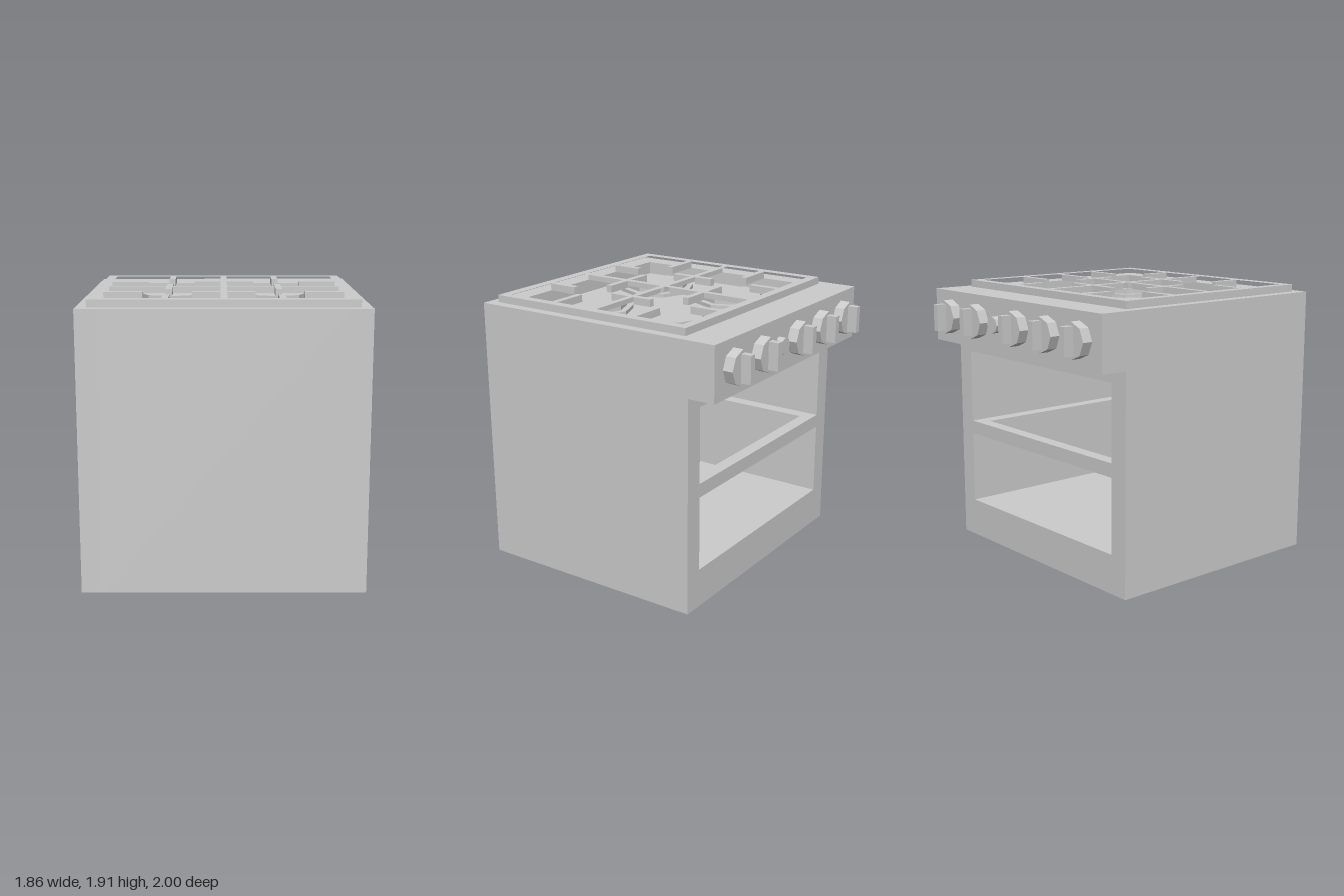
import * as THREE from 'three';

const material = new THREE.MeshStandardMaterial({ color: 0xcccccc, flatShading: true });

function add(parent, name, geometry, x = 0, y = 0, z = 0) {
  const mesh = new THREE.Mesh(geometry, material);
  mesh.name = name;
  mesh.position.set(x, y, z);
  parent.add(mesh);
  return mesh;
}

// Box given by its minimum and maximum corners
function addBox(parent, name, [x0, y0, z0], [x1, y1, z1]) {
  const geometry = new THREE.BoxGeometry(x1 - x0, y1 - y0, z1 - z0);
  return add(parent, name, geometry, (x0 + x1) / 2, (y0 + y1) / 2, (z0 + z1) / 2);
}

// Side profile of [z, y] points extruded along x
function addProfile(parent, name, points, x0, x1) {
  const shape = new THREE.Shape(points.map(([z, y]) => new THREE.Vector2(-z, y)));
  const geometry = new THREE.ExtrudeGeometry(shape, { depth: x1 - x0, bevelEnabled: false });
  geometry.rotateY(Math.PI / 2);
  return add(parent, name, geometry, x0, 0, 0);
}

function rectangle(Type, x0, z0, x1, z1) {
  return new Type([[x0, z0], [x1, z0], [x1, z1], [x0, z1]].map(([x, z]) => new THREE.Vector2(x, -z)));
}

// Flat plate of [x0, z0, x1, z1] with rectangular holes, from y0 to y1
function addPlate(parent, name, outer, holes, y0, y1) {
  const shape = rectangle(THREE.Shape, ...outer);
  holes.forEach((hole) => shape.holes.push(rectangle(THREE.Path, ...hole)));
  const geometry = new THREE.ExtrudeGeometry(shape, { depth: y1 - y0, bevelEnabled: false });
  geometry.rotateX(-Math.PI / 2);
  return add(parent, name, geometry, 0, y0, 0);
}

export function createModel() {
  const model = new THREE.Group();
  model.name = 'stove';

  // Cabinet: solid side walls and a hollow middle with cooktop well and oven cavity
  const inner = 0.795;
  const sideProfile = [[1, 0], [1, 1.86], [-0.86, 1.86], [-0.86, 1.49], [-0.67, 1.49], [-0.67, 0]];
  addProfile(model, 'leftWall', sideProfile, inner, 0.93);
  addProfile(model, 'rightWall', sideProfile, -0.93, -inner);
  addProfile(model, 'cabinetMiddle', [
    [1, 0], [1, 1.86], [0.86, 1.86], [0.86, 1.77], [-0.54, 1.77], [-0.54, 1.86],
    [-0.86, 1.86], [-0.86, 1.49], [-0.67, 1.49], [-0.67, 1.4], [0.86, 1.4],
    [0.86, 0.27], [-0.67, 0.27], [-0.67, 0],
  ], -inner, inner);

  // Open shelf between the two oven compartments
  addPlate(model, 'ovenShelf', [-inner, -0.67, inner, 0.86], [[-0.7, -0.58, 0.7, 0.77]], 0.785, 0.88);

  // Grate frame with four openings
  const low = 1.86, high = 1.91, bar = 0.022;
  const rows = [
    { z: -0.165, z0: -0.54, z1: 0.135 },
    { z: 0.485, z0: 0.177, z1: 0.86 },
  ];
  const openings = [];
  for (const { z0, z1 } of rows) {
    openings.push([-inner, z0, -bar, z1], [bar, z0, inner, z1]);
  }
  addPlate(model, 'grateFrame', [-0.86, -0.605, 0.86, 0.93], openings, low, high);

  // Burners, each with four grate fingers pointing at its centre
  const reach = 0.163;
  for (const side of [-1, 1]) {
    for (const { z, z0, z1 } of rows) {
      const x = side * 0.373;
      const xMin = side < 0 ? -inner : bar;
      const xMax = side < 0 ? -bar : inner;
      addBox(model, 'grateFinger', [xMin, low, z - bar], [x - reach, high, z + bar]);
      addBox(model, 'grateFinger', [x + reach, low, z - bar], [xMax, high, z + bar]);
      addBox(model, 'grateFinger', [x - bar, low, z0], [x + bar, high, z - reach]);
      addBox(model, 'grateFinger', [x - bar, low, z + reach], [x + bar, high, z1]);
      add(model, 'burnerBase', new THREE.CylinderGeometry(0.27, 0.27, 0.025, 8), x, 1.7825, z);
      add(model, 'burnerCap', new THREE.CylinderGeometry(0.225, 0.225, 0.035, 8), x, 1.8125, z);
    }
  }

  // Control knobs with upright grips
  for (const x of [-0.72, -0.397, -0.07, 0.39, 0.72]) {
    const knob = new THREE.Group();
    knob.name = 'knob';
    knob.position.set(x, 1.68, -0.86);
    const dial = new THREE.CylinderGeometry(0.118, 0.118, 0.07, 8).rotateX(Math.PI / 2);
    add(knob, 'knobDial', dial, 0, 0, -0.035);
    add(knob, 'knobGrip', new THREE.BoxGeometry(0.046, 0.185, 0.07), 0, 0, -0.105);
    model.add(knob);
  }

  // Small push button
  const button = new THREE.CylinderGeometry(0.057, 0.057, 0.05, 8).rotateX(Math.PI / 2);
  add(model, 'button', button, 0.16, 1.68, -0.885);

  return model;
}
